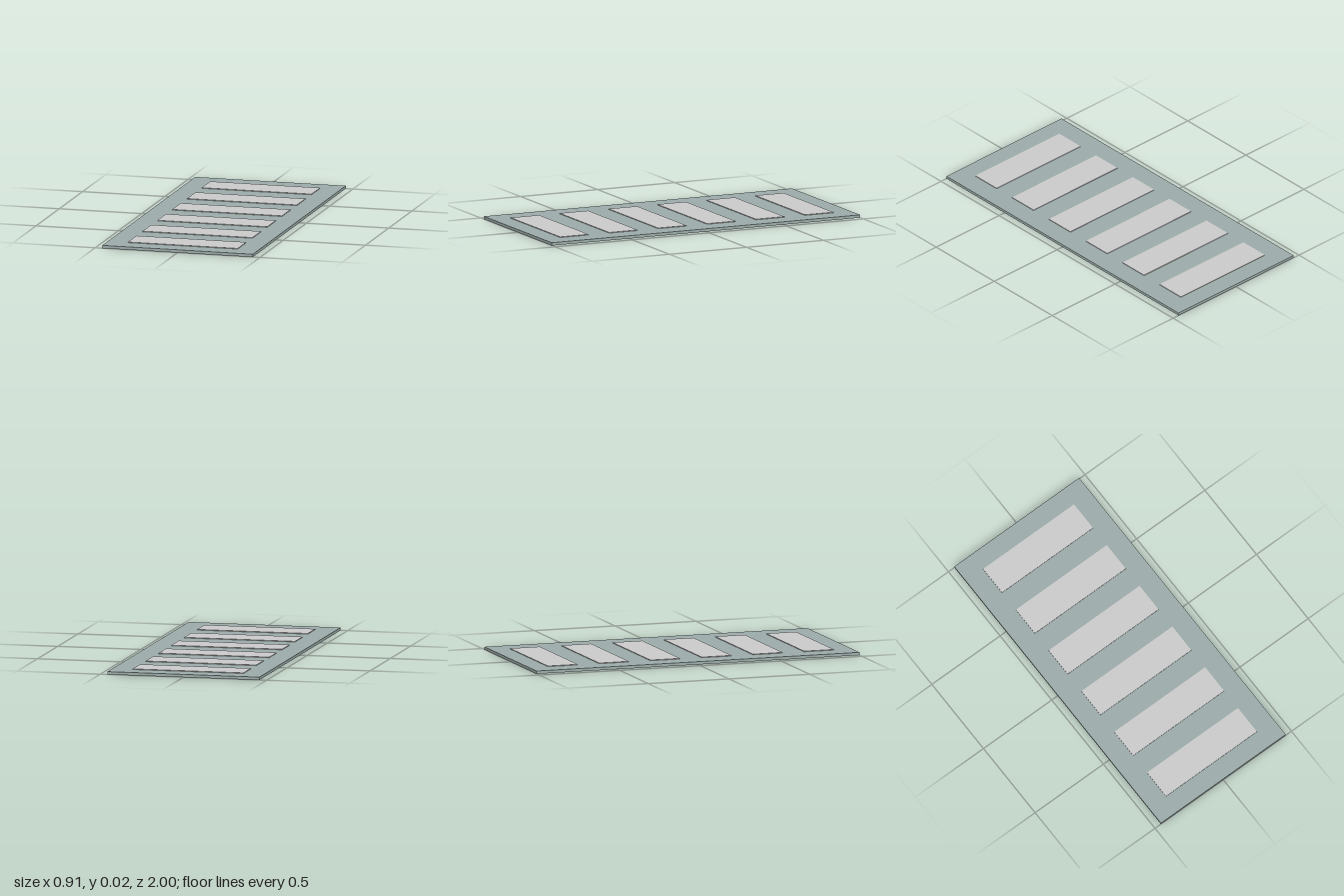
import * as THREE from 'three';

const SLAB = { width: 0.914, height: 0.017, depth: 2 };
const PANEL = { width: 0.666, depth: 0.184, top: 0.021, count: 6, spacing: 0.3175 };

export function createModel() {
  const model = new THREE.Group();
  model.name = 'panelledBoard';

  const slabMaterial = new THREE.MeshStandardMaterial({ color: 0x9cacaa });
  const panelMaterial = new THREE.MeshStandardMaterial({ color: 0xcccccc });

  // Thin base slab
  const slab = new THREE.Mesh(
    new THREE.BoxGeometry(SLAB.width, SLAB.height, SLAB.depth), slabMaterial);
  slab.name = 'baseSlab';
  slab.position.y = SLAB.height / 2;
  model.add(slab);

  // Row of raised panels, sunk slightly into the slab
  const bottom = SLAB.height - 0.004;
  const panelGeometry = new THREE.BoxGeometry(PANEL.width, PANEL.top - bottom, PANEL.depth);
  for (let i = 0; i < PANEL.count; i++) {
    const panel = new THREE.Mesh(panelGeometry, panelMaterial);
    panel.name = `raisedPanel${i + 1}`;
    panel.position.set(0, (PANEL.top + bottom) / 2, (i - (PANEL.count - 1) / 2) * PANEL.spacing);
    model.add(panel);
  }

  return model;
}
